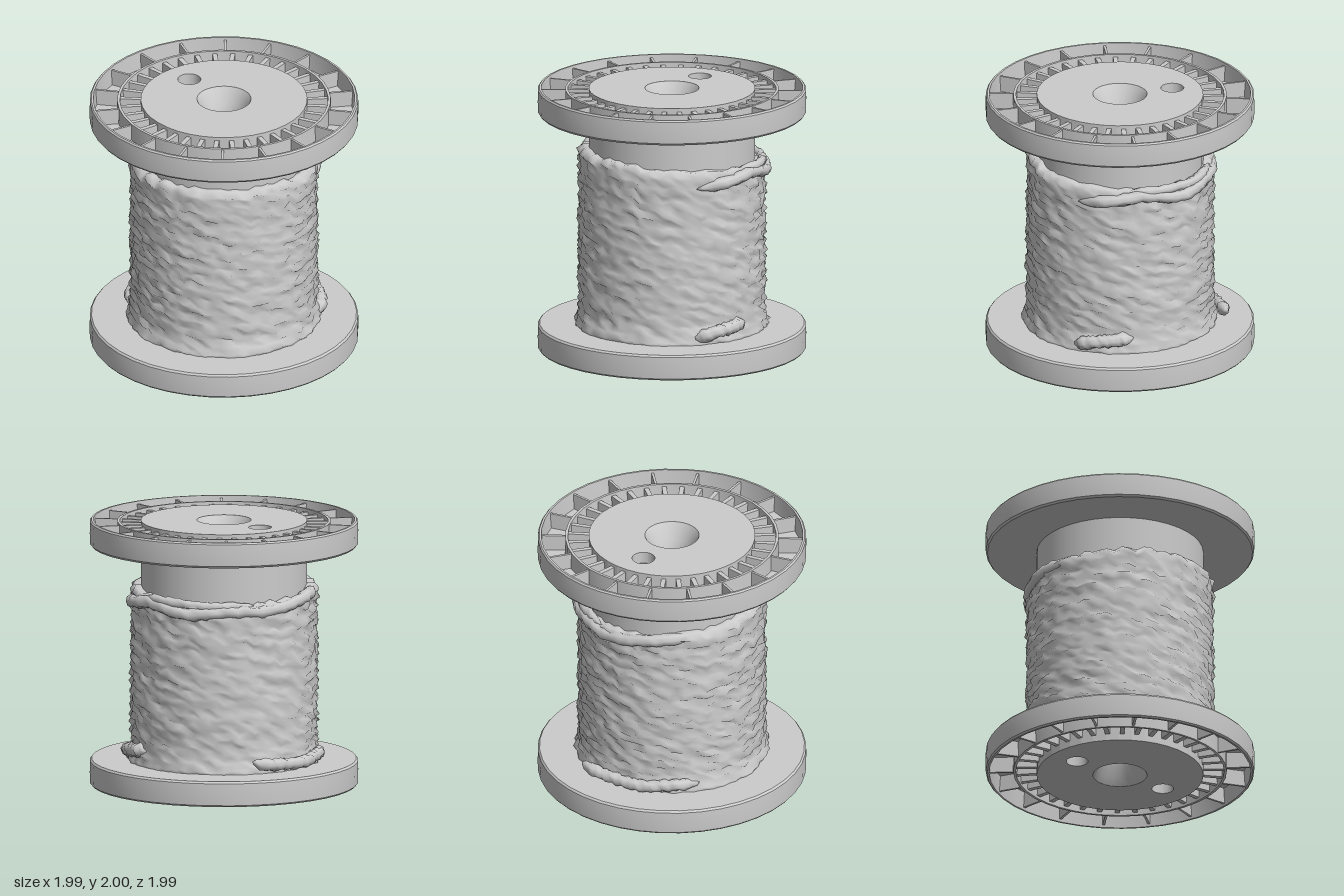
import * as THREE from 'three';
import { mergeVertices, toCreasedNormals } from 'three/addons/utils/BufferGeometryUtils.js';

const material = new THREE.MeshStandardMaterial({ color: 0xcccccc });
const H = 0.19; // flange thickness

function add(parent, name, geometry) {
  const mesh = new THREE.Mesh(geometry, material);
  mesh.name = name;
  parent.add(mesh);
  return mesh;
}

function lathe(points, segments, crease = 0.6) {
  const geometry = new THREE.LatheGeometry(points.map(([x, y]) => new THREE.Vector2(x, y)), segments);
  return toCreasedNormals(geometry, crease);
}

// Repeatable value in -1..1 for a grid position
function noise(a, b) {
  const s = Math.sin(a * 127.1 + b * 311.7) * 43758.5453;
  return 2 * (s - Math.floor(s)) - 1;
}

const polar = (deg, y, r) => {
  const a = THREE.MathUtils.degToRad(deg);
  return new THREE.Vector3(Math.sin(a) * r, y, Math.cos(a) * r);
};

// Flange facing up: its underside is y = 0, its open ribbed face is y = H
function makeFlange(name, holes, plateTop) {
  const flange = new THREE.Group();
  flange.name = name;
  const floor = 0.05;

  add(flange, 'rimAndDeck', lathe([
    [0.55, 0], [0.978, 0], [0.99, 0.015], [0.993, H / 2], [0.99, H - 0.012], [0.98, H],
    [0.965, H], [0.955, floor], [0.55, floor],
  ], 40));
  add(flange, 'innerRing', lathe([
    [0.79, floor], [0.788, H - 0.01], [0.768, H - 0.01], [0.762, floor],
  ], 40));

  // Thin radial ribs outside the ring, stubbier ones inside it
  const ribs = (label, count, r0, r1, width, height, offset) => {
    const geometry = new THREE.BoxGeometry(r1 - r0, height, width);
    geometry.translate((r0 + r1) / 2, floor + height / 2, 0);
    for (let i = 0; i < count; i++) {
      add(flange, label, geometry).rotation.y = offset + (i / count) * Math.PI * 2;
    }
  };
  ribs('outerRib', 18, 0.78, 0.965, 0.018, 0.12, -0.07);
  ribs('innerRib', 36, 0.59, 0.77, 0.035, 0.11, 0.03);

  // Hub plate pierced by the funnel and the small holes
  const shape = new THREE.Shape().absarc(0, 0, 0.615, 0, Math.PI * 2);
  shape.holes.push(new THREE.Path().absarc(0, 0, 0.2, 0, Math.PI * 2, true));
  for (const [x, z, r] of holes) {
    shape.holes.push(new THREE.Path().absarc(x, -z, r, 0, Math.PI * 2, true));
    const bottom = add(flange, 'holeFloor', new THREE.CylinderGeometry(r * 1.1, r * 1.1, 0.02, 16));
    bottom.position.set(x, plateTop - 0.1, z);
  }
  const plate = new THREE.ExtrudeGeometry(shape, { depth: plateTop, bevelEnabled: false, curveSegments: 20 });
  plate.rotateX(-Math.PI / 2);
  add(flange, 'hubPlate', plate);

  add(flange, 'centreFunnel', lathe([
    [0.202, plateTop], [0.17, plateTop - 0.05], [0.142, plateTop - 0.12],
    [0.105, plateTop - 0.2], [0.1, plateTop - 0.26], [0, plateTop - 0.26],
  ], 20, 0.9));
  return flange;
}

// Bumpy layers of wound cord
function makeWinding() {
  const rows = 42, segments = 76, low = 0.2;
  const profile = [];
  for (let j = 0; j <= rows; j++) profile.push(new THREE.Vector2(0.68, j / rows));
  profile.push(new THREE.Vector2(0.6, 1));
  const geometry = new THREE.LatheGeometry(profile, segments);
  const p = geometry.attributes.position;
  const n = profile.length;
  for (let k = 0; k < p.count; k++) {
    const i = Math.floor(k / n) % segments, j = k % n;
    const a = (i / segments) * Math.PI * 2;
    const top = 1.515 + 0.045 * Math.cos(a) + 0.015 * noise(i, 99);
    let y = low + (top - low) * p.getY(k);
    let r = 0.605;
    if (j <= rows) {
      r = 0.685 + (j % 2 ? 0.009 : -0.009) + 0.014 * noise(i, j);
      r += 0.03 * Math.max(0, 1 - j / 4); // flare at the foot
      if (j > 0 && j < rows) y += 0.01 * noise(j + 50, i);
      if (j === rows) r -= 0.02;
    }
    p.setXYZ(k, Math.sin(a) * r, y, Math.cos(a) * r);
  }
  geometry.deleteAttribute('uv');
  geometry.deleteAttribute('normal');
  const merged = mergeVertices(geometry);
  merged.computeVertexNormals();
  return merged;
}

// Loose strand along [degrees, height, distance] points, lumpy with tapered ends
function makeStrand(points, radius) {
  const curve = new THREE.CatmullRomCurve3(points.map((q) => polar(...q)));
  const steps = points.length * 6, sides = 8;
  const geometry = new THREE.TubeGeometry(curve, steps, radius, sides);
  const p = geometry.attributes.position;
  const v = new THREE.Vector3();
  for (let k = 0; k < p.count; k++) {
    const i = Math.floor(k / (sides + 1)), j = (k % (sides + 1)) % sides;
    const centre = curve.getPointAt(i / steps);
    const taper = Math.min(1, Math.sqrt(Math.min(i, steps - i) / 4));
    v.fromBufferAttribute(p, k).sub(centre).multiplyScalar(taper * (1 + 0.2 * noise(i, j + 7))).add(centre);
    p.setXYZ(k, v.x, v.y, v.z);
  }
  geometry.deleteAttribute('uv');
  geometry.deleteAttribute('normal');
  const merged = mergeVertices(geometry);
  merged.computeVertexNormals();
  return merged;
}

export function createModel() {
  const spool = new THREE.Group();
  spool.name = 'cordSpool';

  const top = makeFlange('topFlange', [[-0.29, -0.28, 0.085]], H - 0.005);
  top.position.y = 2 - H;
  spool.add(top);

  const bottom = makeFlange('bottomFlange', [[0.38, -0.11, 0.08], [-0.38, 0.11, 0.08]], H + 0.02);
  bottom.rotation.x = Math.PI;
  bottom.position.y = H + 0.02;
  spool.add(bottom);

  add(spool, 'drum', new THREE.CylinderGeometry(0.615, 0.615, 1.62, 40, 1, true)).position.y = 1.01;
  add(spool, 'winding', makeWinding());

  add(spool, 'upperStrand', makeStrand([
    [92, 1.39, 0.68], [112, 1.42, 0.7], [135, 1.45, 0.69], [160, 1.4, 0.69],
    [185, 1.42, 0.67], [215, 1.42, 0.67], [245, 1.47, 0.67], [275, 1.5, 0.66],
  ], 0.045));
  add(spool, 'lastTurn', makeStrand([
    [120, 1.47, 0.66], [145, 1.48, 0.68], [175, 1.46, 0.66], [205, 1.46, 0.66],
  ], 0.035));
  add(spool, 'lowerStrand', makeStrand([
    [90, 0.25, 0.68], [100, 0.29, 0.71], [112, 0.31, 0.71], [128, 0.33, 0.68],
  ], 0.05));
  add(spool, 'looseEnd', makeStrand([
    [200, 0.32, 0.79], [206, 0.29, 0.77], [222, 0.27, 0.73], [240, 0.26, 0.72], [262, 0.28, 0.71], [275, 0.27, 0.68],
  ], 0.045));
  return spool;
}
